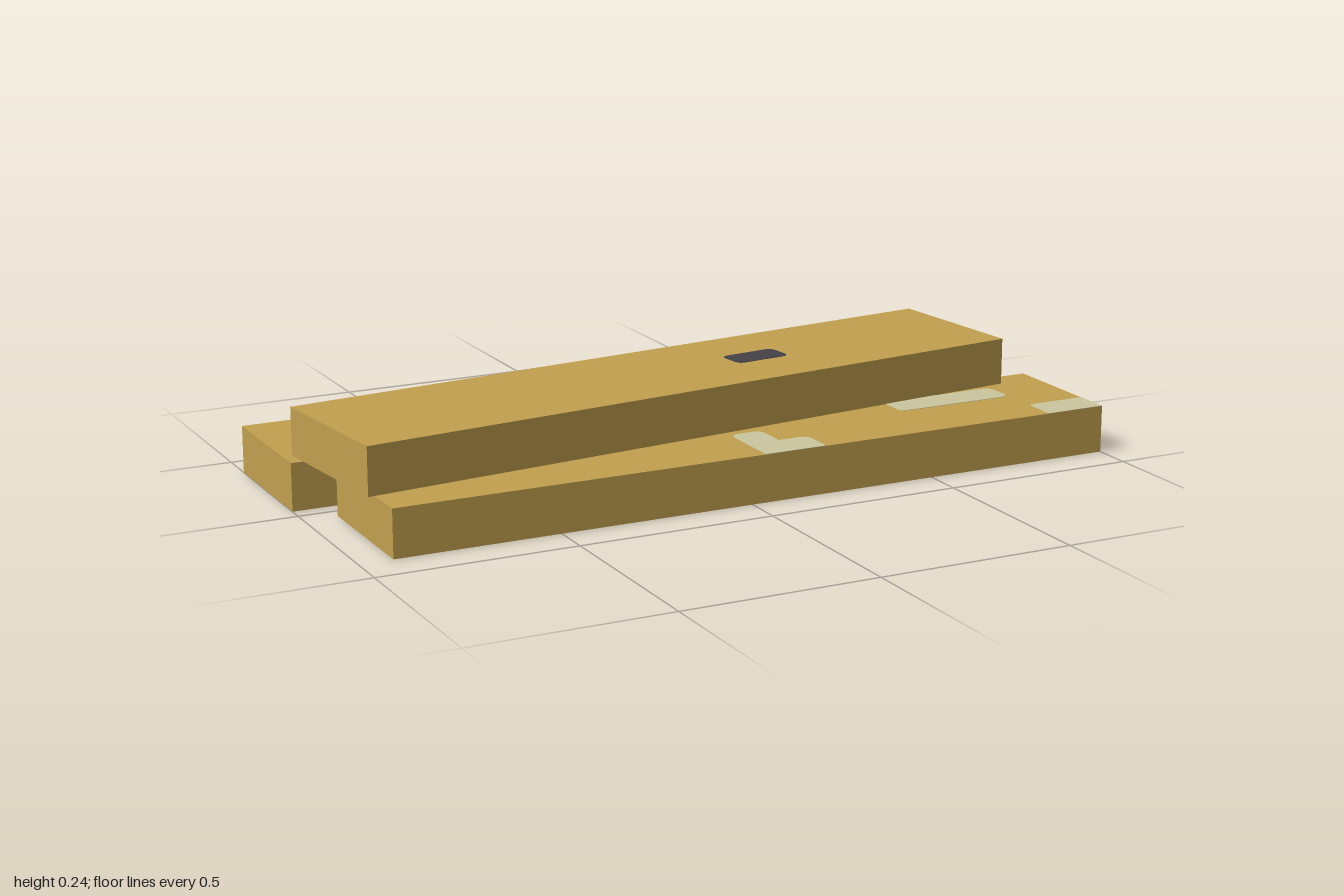
import * as THREE from 'three';

const H = 0.12; // plank height
const THICK = 0.002; // stain plate thickness

const mat = (name, color, side = THREE.FrontSide) => {
  const m = new THREE.MeshStandardMaterial({ color, side });
  m.name = name;
  return m;
};

// Box shell, open underneath
function shell(length, width) {
  const g = new THREE.BoxGeometry(length, H, width);
  const idx = Array.from(g.index.array);
  idx.splice(18, 6); // drop the bottom face
  g.clearGroups();
  g.setIndex(idx);
  return g.translate(0, H / 2, 0);
}

// Thin plate lying in the plank's top sheet; points are [x, z, corner radius]
function plate(points) {
  const s = new THREE.Shape();
  const pts = points.map(([x, z]) => new THREE.Vector2(x, -z));
  const n = pts.length;
  pts.forEach((p, i) => {
    const r = points[i][2];
    const toward = (q) => p.clone().add(q.clone().sub(p).setLength(r));
    const a = r ? toward(pts[(i + n - 1) % n]) : p;
    const b = r ? toward(pts[(i + 1) % n]) : p;
    if (i === 0) s.moveTo(a.x, a.y);
    else s.lineTo(a.x, a.y);
    if (r) s.quadraticCurveTo(p.x, p.y, b.x, b.y);
  });
  s.closePath();
  const g = new THREE.ExtrudeGeometry(s, { depth: THICK, bevelEnabled: false, curveSegments: 4 });
  return g.rotateX(-Math.PI / 2).translate(0, H - THICK / 2, 0);
}

export function createModel() {
  const wood = mat('wood', 0xc2a04e, THREE.DoubleSide);
  const pale = mat('pale stain', 0xcac79f);
  const dark = mat('dark stain', 0x444246);
  const model = new THREE.Group();
  model.name = 'plankPile';

  const add = (parent, name, geometry, material) => {
    const m = new THREE.Mesh(geometry, material);
    m.name = name;
    parent.add(m);
    return m;
  };

  // Two lower planks, shifted in opposite directions
  add(model, 'backPlank', shell(1.916, 0.36), wood).position.set(-0.042, 0, -0.22);
  add(model, 'frontPlank', shell(1.916, 0.36), wood).position.set(0.042, 0, 0.22);

  // Pale worn patches on the front plank
  const R = 0.025;
  add(model, 'longPatch', plate([
    [0.52, 0.125, R], [0.52, 0.215, R], [0.84, 0.215, R], [0.84, 0.125, R],
  ]), pale);
  add(model, 'anglePatch', plate([
    [0.035, 0.215, R], [0.035, 0.4, 0], [0.2, 0.4, 0], [0.2, 0.307, R], [0.12, 0.307, 0], [0.12, 0.215, R],
  ]), pale);
  add(model, 'cornerPatch', plate([
    [0.84, 0.308, 0.015], [0.84, 0.4, 0], [1, 0.4, 0], [1, 0.308, 0],
  ]), pale);

  // Upper plank, laid askew, with a dark knot
  const upper = new THREE.Group();
  upper.name = 'upperPlank';
  upper.position.set(-0.042, H, 0);
  upper.rotation.y = 0.1065;
  add(upper, 'upperBoard', shell(1.835, 0.398), wood);
  add(upper, 'knot', plate([
    [0.203, -0.04, 0.02], [0.203, 0.04, 0.02], [0.355, 0.04, 0.02], [0.355, -0.04, 0.02],
  ]), dark);
  model.add(upper);

  return model;
}
